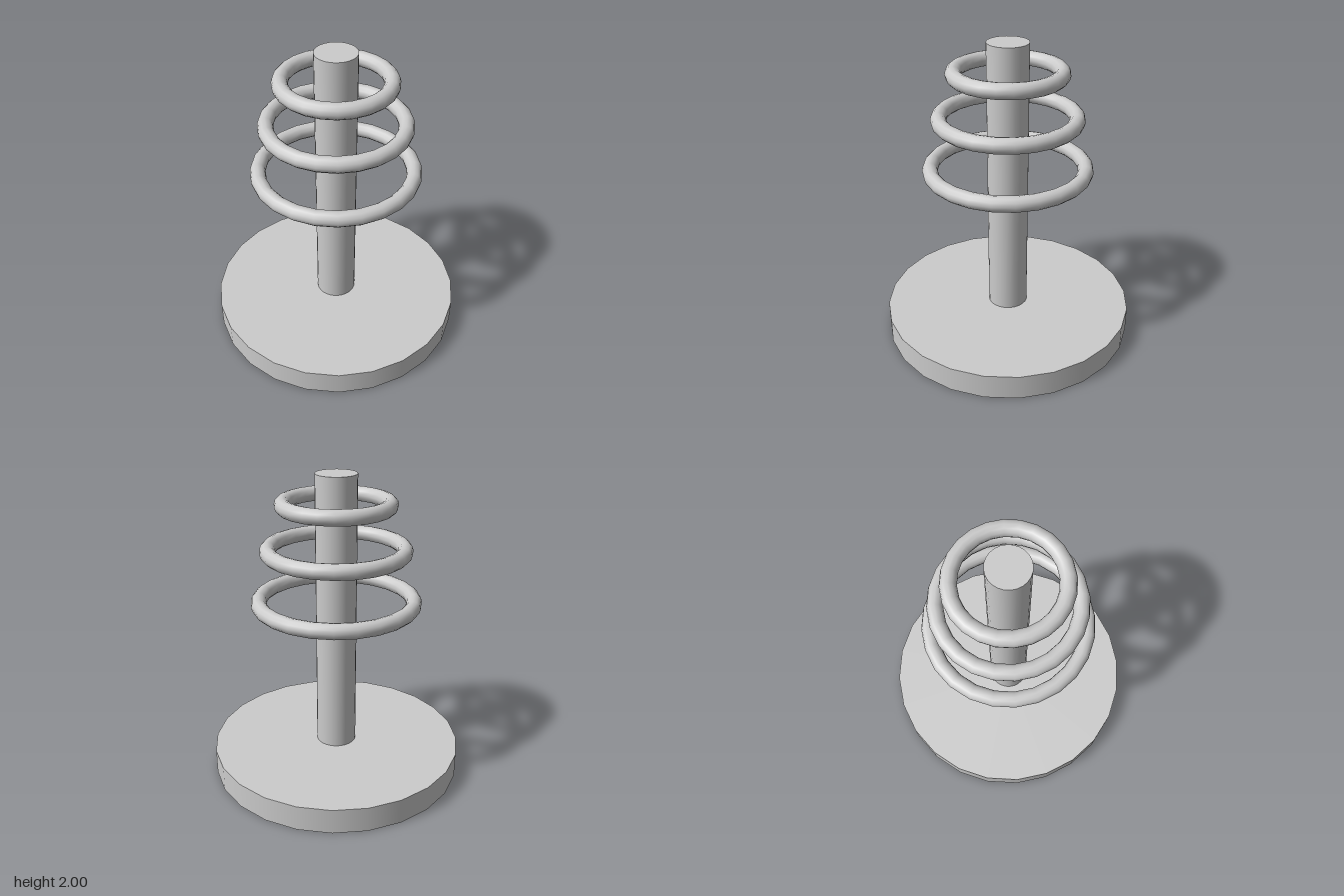
import * as THREE from 'three';

const SIDES = 24;

export function createModel() {
  const group = new THREE.Group();
  const material = new THREE.MeshStandardMaterial({ color: 0xcccccc });

  function add(name, geometry, y) {
    const mesh = new THREE.Mesh(geometry, material);
    mesh.name = name;
    mesh.position.y = y;
    group.add(mesh);
  }

  // Round foot and the pole standing on it
  const baseHeight = 0.167;
  const poleHeight = 2 - baseHeight;
  add('base', new THREE.CylinderGeometry(0.833, 0.833, baseHeight, SIDES), baseHeight / 2);
  add('pole', new THREE.CylinderGeometry(0.132, 0.132, poleHeight, SIDES), baseHeight + poleHeight / 2);

  // Three level rings around the pole, smaller towards the top
  const tube = 0.05;
  const rings = [
    ['lowerRing', 0.5, 1.18],
    ['middleRing', 0.433, 1.52],
    ['upperRing', 0.333, 1.81],
  ];
  for (const [name, radius, y] of rings) {
    add(name, new THREE.TorusGeometry(radius, tube, 12, SIDES).rotateX(-Math.PI / 2), y);
  }

  return group;
}
